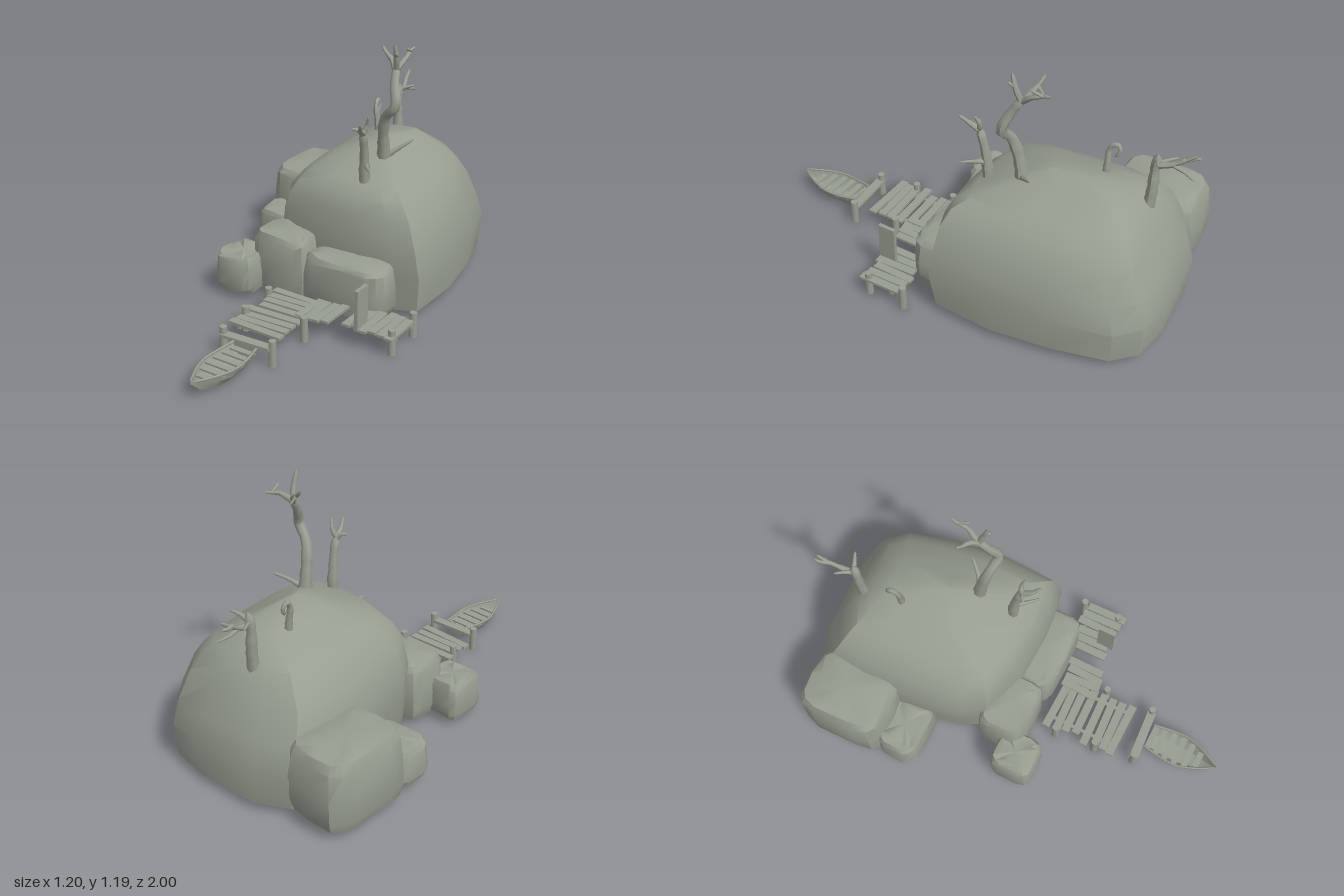
import * as THREE from 'three';
import { toCreasedNormals } from 'three/addons/utils/BufferGeometryUtils.js';

const stone = new THREE.MeshStandardMaterial({ color: 0x979d91, side: THREE.DoubleSide });
stone.name = 'greyGreen';

// small seeded noise in -1..1
const noise = (n) => { const s = Math.sin(n * 127.1 + 11.7) * 43758.5453; return (s - Math.floor(s)) * 2 - 1; };

function add(parent, name, geometry) {
  const mesh = new THREE.Mesh(geometry, stone);
  mesh.name = name;
  parent.add(mesh);
  return mesh;
}

function build(pos, idx, crease) {
  const g = new THREE.BufferGeometry();
  g.setAttribute('position', new THREE.Float32BufferAttribute(pos, 3));
  g.setIndex(idx);
  return toCreasedNormals(g, crease);
}

// Stacked rings: outline is normalised to -1..1, counterclockwise from above;
// each level is [y, minX, maxX, backZ, frontZ].
function loft(outline, levels, top, rough, seed) {
  const n = outline.length, pos = [], idx = [];
  levels.forEach(([y, x0, x1, z0, z1], i) => outline.forEach(([u, v], j) => {
    const k = 1 + rough * noise(seed + i * 31 + j * 7);
    pos.push((x0 + x1) / 2 + u * k * (x1 - x0) / 2,
      y + rough * 0.3 * noise(seed + i * 17 + j * 3),
      (z0 + z1) / 2 + v * k * (z1 - z0) / 2);
  }));
  const m = levels.length, b = levels[0];
  pos.push((b[1] + b[2]) / 2, b[0], (b[3] + b[4]) / 2, ...top);
  for (let j = 0; j < n; j++) {
    const q = (j + 1) % n;
    for (let i = 0; i < m - 1; i++) {
      const a = i * n + j, c = i * n + q;
      idx.push(a, c, c + n, a, c + n, a + n);
    }
    idx.push(m * n, q, j, m * n + 1, (m - 1) * n + j, (m - 1) * n + q);
  }
  return build(pos, idx, 0.6);
}

// Squarish boulder filling the given bounds
function rock(parent, name, x0, x1, y0, y1, z0, z1, seed) {
  const outline = [];
  for (let j = 0; j < 14; j++) {
    const t = (j + 0.5) / 14 * Math.PI * 2, p = 0.5;
    const f = (c) => Math.sign(c) * Math.abs(c) ** p;
    outline.push([f(Math.cos(t)), -f(Math.sin(t))]);
  }
  const cx = (x0 + x1) / 2, cz = (z0 + z1) / 2, h = y1 - y0;
  const levels = [[0, 0.9], [0.15, 0.99], [0.5, 0.98], [0.86, 0.93], [0.96, 0.84], [0.99, 0.6]].map(([t, s]) =>
    [y0 + t * h, cx - s * (x1 - x0) / 2, cx + s * (x1 - x0) / 2, cz - s * (z1 - z0) / 2, cz + s * (z1 - z0) / 2]);
  add(parent, name, loft(outline, levels, [cx, y1, cz], 0.03, seed));
}

// Tapered crooked limb along a path
function limb(parent, name, points, r0, r1) {
  const curve = new THREE.CatmullRomCurve3(points.map((p) => new THREE.Vector3(...p)), false, 'centripetal');
  const segs = points.length * 3, sides = 7;
  const g = new THREE.TubeGeometry(curve, segs, 1, sides, false);
  const p = g.attributes.position, v = new THREE.Vector3();
  for (let i = 0; i <= segs; i++) {
    const t = i / segs, c = curve.getPointAt(t);
    const r = i === segs ? 0.0005 : (r0 + (r1 - r0) * t) * (1 + 0.1 * noise(i + r0 * 900));
    for (let j = 0; j <= sides; j++) {
      const k = i * (sides + 1) + j;
      v.fromBufferAttribute(p, k).sub(c).multiplyScalar(r).add(c);
      p.setXYZ(k, v.x, v.y, v.z);
    }
  }
  g.computeVertexNormals();
  add(parent, name, g);
}

function box(parent, name, w, h, d, x, y, z, turn = 0) {
  const mesh = add(parent, name, new THREE.BoxGeometry(w, h, d));
  mesh.position.set(x, y, z);
  mesh.rotation.y = turn;
  return mesh;
}

function section(root, name) {
  const g = new THREE.Group();
  g.name = name;
  root.add(g);
  return g;
}

export function createModel() {
  const root = new THREE.Group();
  root.name = 'rockyIsland';

  // Main mound
  const outline = [[0.54, -0.35], [0.5, -0.62], [0.43, -0.88], [0.33, -0.98], [0.15, -1], [-0.17, -0.98],
    [-0.33, -0.9], [-0.35, -0.7], [-0.33, -0.5], [-0.29, -0.2], [-0.22, -0.08], [0, -0.01], [0.25, 0],
    [0.42, -0.015], [0.53, -0.05]].map(([x, z]) => [(x - 0.095) / 0.445, (z + 0.5) / 0.5]);
  add(root, 'mound', loft(outline, [
    [0.045, -0.33, 0.525, -0.99, -0.02], [0.21, -0.35, 0.54, -1, 0], [0.33, -0.34, 0.52, -0.96, 0],
    [0.46, -0.3, 0.475, -0.9, -0.02], [0.53, -0.24, 0.42, -0.86, -0.05], [0.575, -0.19, 0.36, -0.82, -0.11],
    [0.62, -0.11, 0.27, -0.77, -0.22], [0.665, 0, 0.19, -0.7, -0.32],
  ], [0.12, 0.7, -0.43], 0.01, 4));

  // Boulders around the foot
  const rocks = section(root, 'boulders');
  rock(rocks, 'largeSideBoulder', -0.6, -0.25, 0.05, 0.385, -0.92, -0.47, 1);
  rock(rocks, 'smallSideBoulder', -0.565, -0.27, 0.045, 0.21, -0.52, -0.3, 9);
  rock(rocks, 'looseBoulder', -0.41, -0.2, 0.04, 0.22, 0.015, 0.235, 15);
  rock(rocks, 'tallFrontBoulder', -0.28, 0.03, 0.04, 0.325, -0.12, 0.13, 22);
  rock(rocks, 'wideFrontBoulder', 0, 0.44, 0.04, 0.285, -0.1, 0.14, 37);

  // Dead trees: [path, base radius, tip radius]
  const trees = {
    tallTree: [
      [[[0.19, 0.55, -0.32], [0.19, 0.7, -0.3], [0.2, 0.8, -0.28], [0.22, 0.86, -0.265], [0.275, 0.92, -0.25],
        [0.25, 1, -0.28], [0.23, 1.08, -0.33]], 0.034, 0.017],
      [[[0.23, 1.06, -0.32], [0.25, 1.11, -0.38], [0.245, 1.13, -0.43], [0.25, 1.14, -0.46]], 0.015, 0.006],
      [[[0.23, 1.06, -0.32], [0.2, 1.095, -0.345], [0.16, 1.12, -0.36], [0.13, 1.15, -0.37]], 0.016, 0.006],
      [[[0.235, 1.06, -0.32], [0.245, 1.12, -0.3], [0.245, 1.19, -0.28]], 0.016, 0.008],
      [[[0.17, 1.11, -0.36], [0.175, 1.08, -0.39]], 0.008, 0.004],
      [[[0.247, 1.13, -0.42], [0.26, 1.15, -0.37]], 0.009, 0.005],
      [[[0.245, 1.13, -0.3], [0.26, 1.15, -0.27]], 0.01, 0.005],
      [[[0.2, 0.65, -0.31], [0.25, 0.69, -0.35], [0.295, 0.725, -0.4]], 0.014, 0.005],
    ],
    frontTree: [
      [[[0.19, 0.5, -0.14], [0.19, 0.65, -0.135], [0.195, 0.75, -0.12], [0.2, 0.83, -0.1]], 0.029, 0.018],
      [[[0.2, 0.82, -0.1], [0.21, 0.845, -0.06], [0.235, 0.885, -0.02]], 0.015, 0.006],
      [[[0.2, 0.82, -0.1], [0.215, 0.86, -0.11], [0.23, 0.905, -0.095]], 0.013, 0.005],
      [[[0.2, 0.81, -0.1], [0.18, 0.835, -0.09], [0.155, 0.84, -0.07]], 0.012, 0.005],
      [[[0.2, 0.66, -0.13], [0.23, 0.665, -0.09], [0.275, 0.67, -0.04]], 0.013, 0.004],
    ],
    backTree: [
      [[[-0.02, 0.54, -0.8], [-0.025, 0.65, -0.81], [-0.03, 0.75, -0.81], [-0.025, 0.83, -0.82]], 0.028, 0.018],
      [[[-0.03, 0.77, -0.82], [-0.04, 0.79, -0.88], [-0.055, 0.83, -0.94], [-0.06, 0.86, -0.98]], 0.015, 0.006],
      [[[-0.04, 0.79, -0.88], [-0.04, 0.775, -0.93], [-0.02, 0.76, -0.99]], 0.011, 0.004],
      [[[-0.05, 0.82, -0.92], [-0.07, 0.83, -0.96], [-0.075, 0.84, -0.99]], 0.011, 0.006],
      [[[-0.03, 0.79, -0.82], [0, 0.81, -0.83], [0.045, 0.825, -0.85]], 0.013, 0.005],
      [[[-0.03, 0.78, -0.82], [-0.06, 0.795, -0.86], [-0.085, 0.8, -0.89]], 0.011, 0.005],
    ],
    hookedStump: [
      [[[-0.01, 0.6, -0.6], [-0.02, 0.7, -0.6], [-0.03, 0.76, -0.6], [-0.035, 0.79, -0.615], [-0.04, 0.79, -0.64],
        [-0.035, 0.76, -0.645], [-0.03, 0.735, -0.625]], 0.02, 0.007],
    ],
  };
  for (const [name, limbs] of Object.entries(trees)) {
    const tree = section(root, name);
    limbs.forEach(([path, r0, r1], i) => limb(tree, i ? 'branch' : 'trunk', path, r0, r1));
  }

  // Jetty planks
  const jetty = section(root, 'jetty');
  [0.18, 0.225, 0.27, 0.32, 0.375, 0.425, 0.47, 0.515].forEach((z, i) =>
    box(jetty, 'plank', 0.26 + 0.02 * noise(i), 0.012, 0.038, 0.05 + 0.012 * noise(i + 5), 0.085, z, 0.06 * noise(i + 9)));
  for (let i = 0; i < 4; i++) {
    box(jetty, 'linkPlank', 0.037, 0.012, 0.18, 0.15 + i * 0.04, 0.09, 0.235 + 0.015 * noise(i), 0.05 * noise(i + 3));
  }
  for (let i = 0; i < 6; i++) {
    box(jetty, 'sidePlank', 0.038, 0.012, 0.2, 0.36 + i * 0.043, 0.09, 0.185 + 0.012 * noise(i + 2), 0.04 * noise(i + 6));
  }
  box(jetty, 'endPlank', 0.25, 0.014, 0.042, 0.08, 0.085, 0.62, 0.06);
  for (const x of [-0.03, 0.15]) box(jetty, 'beam', 0.016, 0.016, 0.36, x, 0.072, 0.35);
  for (const z of [0.12, 0.25]) box(jetty, 'sideBeam', 0.25, 0.014, 0.016, 0.47, 0.077, z);
  box(jetty, 'uprightBoard', 0.018, 0.19, 0.085, 0.42, 0.18, 0.255);

  // Mooring posts
  [[-0.085, 0.23], [-0.065, 0.43], [0.205, 0.37], [-0.035, 0.625], [0.21, 0.61], [0.575, 0.07], [0.575, 0.255]].forEach(([x, z], i) => {
    const post = add(jetty, 'post', new THREE.CylinderGeometry(0.017, 0.019, 0.118, 8));
    post.position.set(x, 0.063, z);
    post.rotation.y = i;
  });

  // Rowing boat: [z, half width, keel y, rim y]
  const boat = section(root, 'boat');
  const ribs = [[0.65, 0.06, 0.025, 0.086], [0.72, 0.074, 0.011, 0.08], [0.82, 0.08, 0.01, 0.08],
    [0.9, 0.056, 0.015, 0.083], [0.96, 0.026, 0.035, 0.085], [1, 0.002, 0.075, 0.088]];
  const pos = [], idx = [], cut = [[-1, 1], [-0.88, 0.5], [-0.5, 0], [0.5, 0], [0.88, 0.5], [1, 1]];
  ribs.forEach(([z, w, k, r]) => cut.forEach(([u, v]) => pos.push(0.095 + u * w, k + v * (r - k), z)));
  for (let i = 0; i < ribs.length - 1; i++) {
    for (let j = 0; j < 5; j++) {
      const a = i * 6 + j;
      idx.push(a, a + 1, a + 7, a, a + 7, a + 6);
    }
  }
  for (let j = 1; j < 5; j++) idx.push(0, j + 1, j);
  add(boat, 'hull', build(pos, idx, 0.5));
  for (const s of [-1, 1]) {
    limb(boat, 'rail', ribs.map(([z, w, , r]) => [0.095 + s * w * 0.97, r - 0.002, z]), 0.006, 0.005);
  }
  [[0.665, 0.115], [0.71, 0.13], [0.76, 0.145], [0.81, 0.145], [0.86, 0.125], [0.91, 0.08]].forEach(([z, w]) =>
    box(boat, 'slat', w, 0.008, 0.028, 0.095, 0.062, z));

  return root;
}
